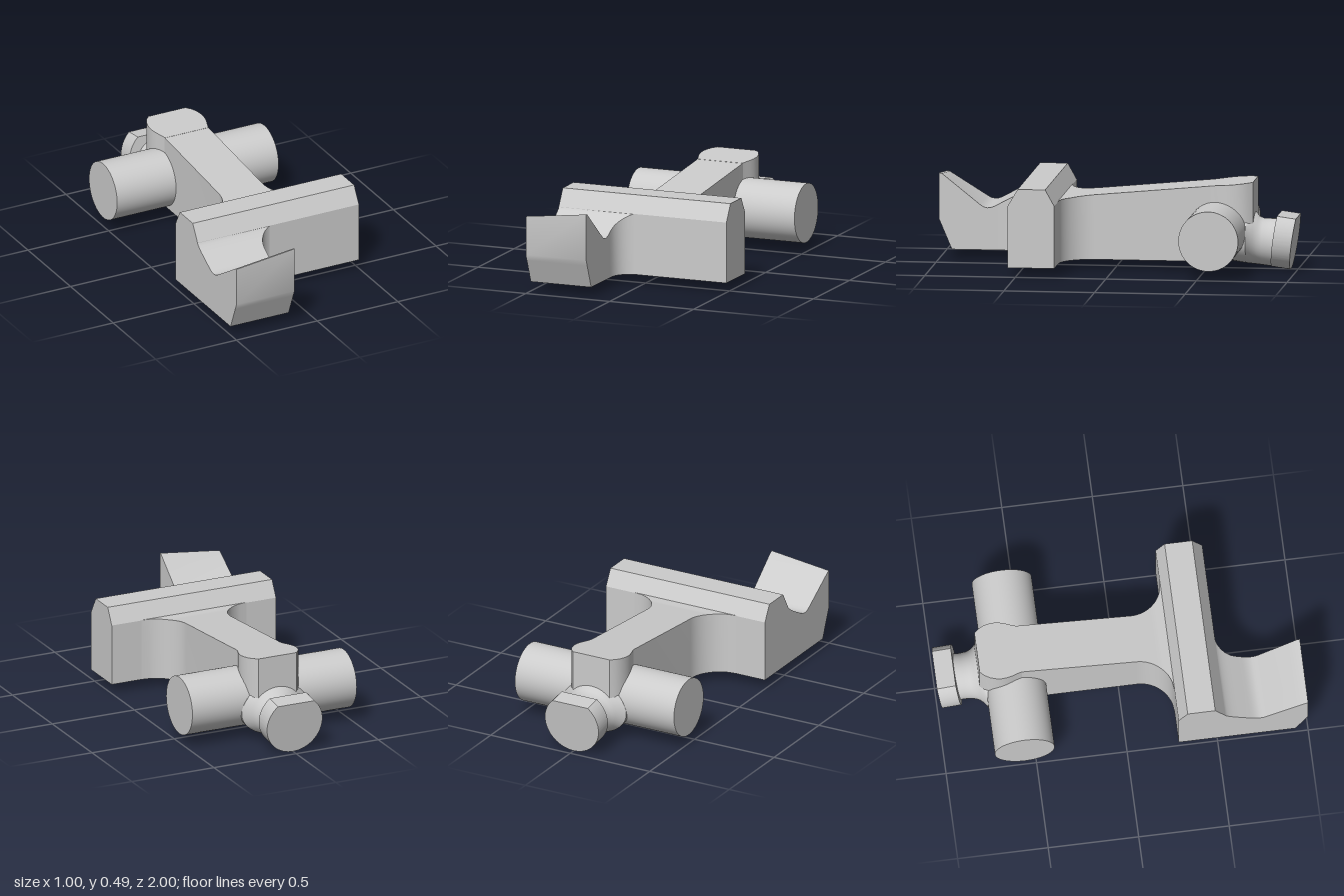
import * as THREE from 'three';
import { toCreasedNormals } from 'three/addons/utils/BufferGeometryUtils.js';

const material = new THREE.MeshStandardMaterial({ color: 0xcccccc });
const BASE = 0.055;

// Skin convex rings (counter-clockwise seen from +z) ordered by rising z, with end caps.
function loft(rings) {
  const n = rings[0].length, index = [];
  rings.forEach((_, i) => {
    if (i === rings.length - 1) return;
    for (let j = 0; j < n; j++) {
      const a = i * n + j, b = i * n + (j + 1) % n;
      index.push(a, b, b + n, a, b + n, a + n);
    }
  });
  const end = (rings.length - 1) * n;
  for (let j = 1; j < n - 1; j++) index.push(0, j + 1, j, end, end + j, end + j + 1);
  const g = new THREE.BufferGeometry();
  g.setAttribute('position', new THREE.Float32BufferAttribute(rings.flat(2), 3));
  g.setIndex(index);
  return g;
}

// Four-cornered section at depth z
const section = (z, x0, x1, bottom, top0, top1 = top0) =>
  [[x0, bottom, z], [x1, bottom, z], [x1, top1, z], [x0, top0, z]];

const range = (a, b, n) => Array.from({ length: n + 1 }, (_, i) => a + (b - a) * i / n);

export function createModel() {
  const group = new THREE.Group();
  const add = (name, geometry, crease = 0.5) => {
    const mesh = new THREE.Mesh(toCreasedNormals(geometry, crease), material);
    mesh.name = name;
    group.add(mesh);
    return mesh;
  };

  // Cross bar with chamfered top edges
  const barProfile = new THREE.Shape([
    [-0.543, BASE], [-0.285, BASE], [-0.285, 0.4], [-0.335, 0.49], [-0.487, 0.49], [-0.543, 0.395],
  ].map(p => new THREE.Vector2(...p)));
  const bar = new THREE.ExtrudeGeometry(barProfile, { depth: 1, bevelEnabled: false });
  bar.rotateY(Math.PI / 2).translate(-0.5, 0, 0);
  add('crossBar', bar);

  // Arm rising towards the back, flared where it meets the bar
  const armTop = z => 0.402 + Math.max(0, 0.23 - z) * 0.0935;
  const flare = z => z < 0.1 ? 0.135 : 0.32 - Math.sqrt(Math.max(0, 0.185 ** 2 - (z - 0.1) ** 2));
  const armStations = [-0.56, ...range(0.1, 0.23, 8), ...range(0.24, 0.285, 8), 0.3];
  add('arm', loft(armStations.map(z => section(z, -flare(z), flare(z), BASE, armTop(z)))));

  // Rounded boss at the back of the arm
  const boss = [[-0.765, 0.115], [-0.74, 0.138], [-0.71, 0.154], [-0.68, 0.162], [-0.65, 0.165],
    [-0.62, 0.162], [-0.59, 0.154], [-0.56, 0.143], [-0.53, 0.134]];
  add('boss', loft(boss.map(([z, w]) => section(z, -w, w, 0.2, armTop(z) + 0.001))));

  // Trunnion pin across the arm
  const pin = new THREE.CylinderGeometry(0.165, 0.165, 1, 64);
  pin.rotateZ(Math.PI / 2).translate(0, 0.22, -0.565);
  add('trunnion', pin);

  // Neck: z, half width, top; blends into the trunnion and boss
  const neck = [[-0.92, 0.13, 0.28], [-0.85, 0.126, 0.28], [-0.81, 0.13, 0.281], [-0.785, 0.139, 0.292],
    [-0.765, 0.154, 0.315], [-0.745, 0.175, 0.32], [-0.73, 0.2, 0.32], [-0.7, 0.2, 0.32], [-0.56, 0.14, 0.32]];
  add('neck', loft(neck.map(([z, w, top]) => {
    const bottom = BASE + (z + 0.56) * 0.125, mid = (top + bottom) / 2, h = (top - bottom) / 2;
    return range(0, 2 * Math.PI, 40).slice(0, -1).map(a => [w * Math.cos(a), mid + h * Math.sin(a), z]);
  })), 0.8);

  // Tilted end flange: a disc with a flat cut on top
  const cut = Math.asin(0.127 / 0.168);
  const disc = new THREE.Shape();
  disc.absarc(0, 0, 0.168, Math.PI - cut, 2 * Math.PI + cut, false);
  disc.closePath();
  const flange = new THREE.ExtrudeGeometry(disc, { depth: 0.105, bevelEnabled: false, curveSegments: 48 });
  flange.rotateX(-0.137).translate(0, 0.169, -0.983);
  add('endFlange', flange);

  // Front lug: z and top height; the ramp drops towards the outer side
  const lugTop = [[0.52, 0.4], [0.541, 0.397], [0.545, 0.39], [0.555, 0.38], [0.57, 0.368], [0.59, 0.355],
    [0.62, 0.338], [0.655, 0.319], [0.68, 0.305], [0.7, 0.295], [0.72, 0.289], [0.735, 0.288],
    [0.755, 0.293], [0.775, 0.306], [0.93, 0.43], [0.985, 0.474], [1, 0.478]];
  const inner = z => z > 0.65 ? -0.14 : -0.03 - Math.sqrt(Math.max(0, 0.11 ** 2 - (0.65 - z) ** 2));
  add('frontLug', loft(lugTop.map(([z, top]) => {
    const bottom = BASE + Math.max(0, z - 0.93) * 2.36;
    const outer = z > 0.735 ? top - (top - 0.288) * 0.22 : top;
    return section(z, -0.5, inner(z), bottom, outer, top);
  })));

  return group;
}
